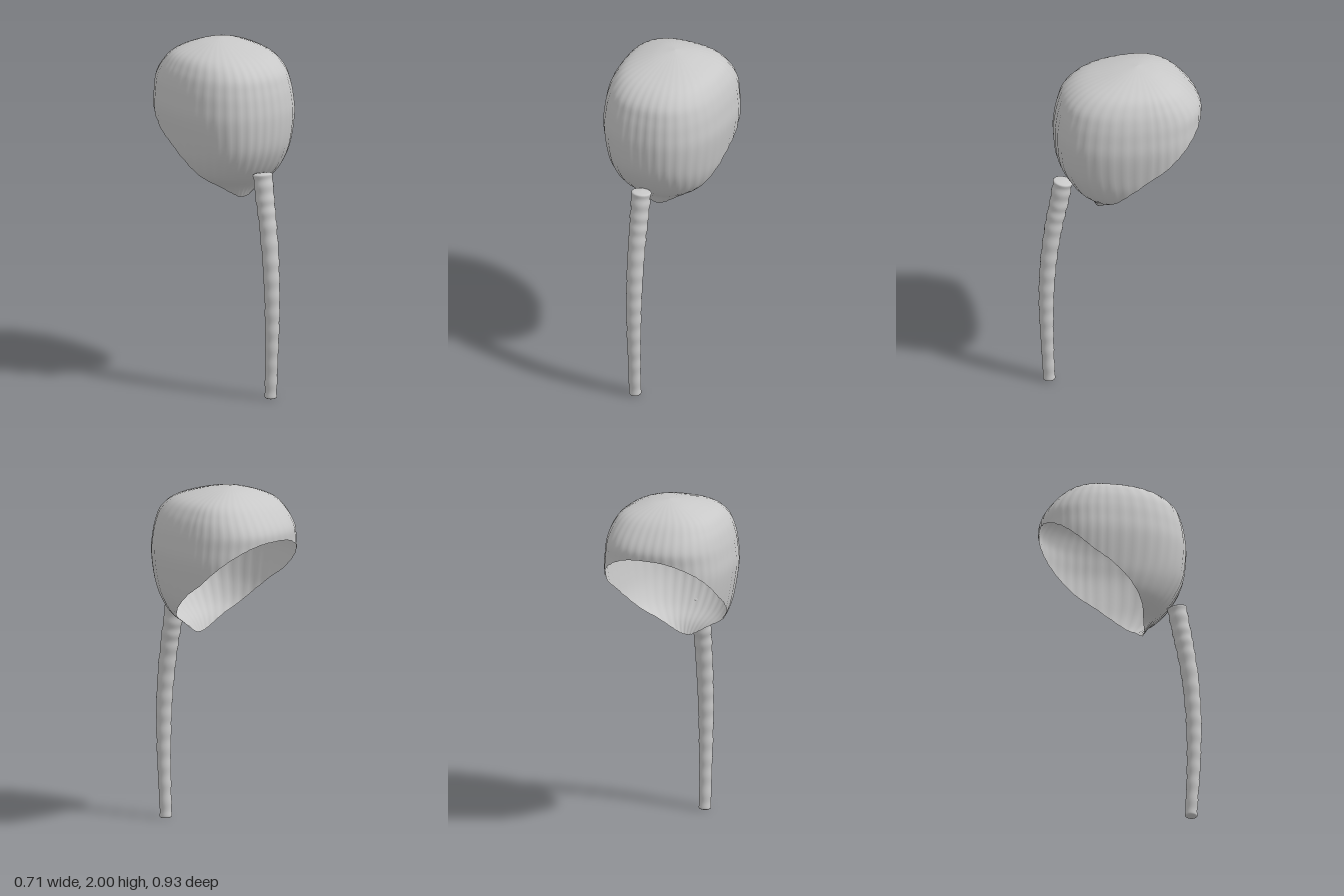
import * as THREE from 'three';

// Interpolates rows of numbers smoothly; t runs from 0 to 1 over the rows.
function sample(rows, t) {
  const s = Math.min(Math.max(t, 0), 1) * (rows.length - 1);
  const i = Math.min(Math.floor(s), rows.length - 2), f = s - i;
  const at = (k) => rows[Math.min(Math.max(k, 0), rows.length - 1)];
  return rows[0].map((_, c) => {
    const [a, b, d, e] = [at(i - 1)[c], at(i)[c], at(i + 1)[c], at(i + 2)[c]];
    return b + 0.5 * f * (d - a + f * (2 * a - 5 * b + 4 * d - e + f * (3 * (b - d) + e - a)));
  });
}

// Skins rings of points running downward, closed around.
function loft(rows, cols, point) {
  const pos = [], index = [];
  for (let i = 0; i <= rows; i++)
    for (let j = 0; j < cols; j++) pos.push(...point(i / rows, (j / cols) * Math.PI * 2));
  for (let i = 0; i < rows; i++)
    for (let j = 0; j < cols; j++) {
      const k = (j + 1) % cols;
      const a = i * cols + j, b = a + cols, c = (i + 1) * cols + k, d = i * cols + k;
      index.push(a, b, d, b, c, d);
    }
  const geo = new THREE.BufferGeometry();
  geo.setAttribute('position', new THREE.Float32BufferAttribute(pos, 3));
  geo.setIndex(index);
  geo.computeVertexNormals();
  return geo;
}

// Shell sections: height, half width, reach to front, reach to back
const SHELL = [
  [2.0, 0, 0, 0], [1.98, 0.12, 0.14, 0.11], [1.93, 0.25, 0.32, 0.22], [1.86, 0.307, 0.417, 0.295],
  [1.78, 0.335, 0.45, 0.347], [1.7, 0.347, 0.467, 0.35], [1.6, 0.353, 0.475, 0.35],
  [1.45, 0.333, 0.46, 0.35], [1.345, 0.31, 0.417, 0.33], [1.255, 0.265, 0.354, 0.3],
  [1.185, 0.18, 0.28, 0.25], [1.117, 0.1, 0.237, 0.2],
];
// Rim line: depth, height
const RIM = [
  [-0.46, 1.73], [-0.4, 1.67], [-0.3, 1.575], [-0.2, 1.485], [-0.1, 1.42],
  [0, 1.335], [0.06, 1.27], [0.1, 1.215], [0.13, 1.117],
];
const AXIS_Z = -0.11;

function rimHeight(z) {
  if (z <= RIM[0][0]) return RIM[0][1];
  for (let i = 1; i < RIM.length; i++) {
    const [z0, y0] = RIM[i - 1], [z1, y1] = RIM[i];
    if (z <= z1) return y0 + ((y1 - y0) * (z - z0)) / (z1 - z0);
  }
  return RIM[RIM.length - 1][1];
}

function shellPoint(t, angle) {
  const [y, w, front, back] = sample(SHELL, t);
  const s = Math.sin(angle), c = Math.cos(angle), n = 2.45;
  const r = 1 / Math.pow(Math.abs(s) ** n + Math.abs(c) ** n, 1 / n);
  const pleat = 1 + 0.006 * Math.cos(angle * 40);
  return [s * r * w * pleat, y, AXIS_Z + c * r * (c > 0 ? front : back) * pleat];
}

// Where the shell meets the rim line at each angle
const ends = new Map();
function shellEnd(angle) {
  if (ends.has(angle)) return ends.get(angle);
  const above = (t) => {
    const p = shellPoint(t, angle);
    return p[1] > rimHeight(p[2]);
  };
  let hi = 0.05;
  while (hi < 1 && above(hi)) hi += 0.01;
  hi = Math.min(hi, 1);
  let lo = hi - 0.01;
  for (let k = 0; k < 14; k++) {
    const mid = (lo + hi) / 2;
    if (above(mid)) lo = mid; else hi = mid;
  }
  ends.set(angle, hi);
  return hi;
}

// Stalk spine: height, depth, radius
const SPINE = [
  [1.29, 0.322, 0.055], [1.15, 0.347, 0.053], [1.0, 0.376, 0.05], [0.8, 0.403, 0.047],
  [0.6, 0.416, 0.044], [0.4, 0.417, 0.04], [0.2, 0.41, 0.036], [0.015, 0.401, 0.034],
];

function stalkPoint(u, angle) {
  // The first and last rings close the ends with a rounded edge.
  const t = Math.min(Math.max((u - 0.03) / 0.94, 0), 1);
  const [y, z, r] = sample(SPINE, t);
  const a = sample(SPINE, t - 0.01), b = sample(SPINE, t + 0.01);
  const dir = new THREE.Vector2(b[0] - a[0], b[1] - a[1]).normalize();
  const cap = Math.max(0.03 - u, u - 0.97, 0) / 0.03;
  const radius = r * (1 + 0.04 * Math.cos(t * 14 * Math.PI * 2)) * Math.sqrt(Math.max(0, 1 - cap ** 3));
  const push = 0.014 * cap * (u < 0.5 ? -1 : 1);
  const x = Math.sin(angle) * radius, side = Math.cos(angle) * radius;
  return [x, y + dir.x * push + dir.y * side, z + dir.y * push - dir.x * side * -1 * 1].map(
    (v, i) => (i === 1 ? y + dir.x * push + dir.y * side : i === 2 ? z + dir.y * push - dir.x * side : v));
}

export function createModel() {
  const grey = new THREE.MeshStandardMaterial({ color: 0xc8c8c8, side: THREE.DoubleSide });
  grey.name = 'pale grey';
  const model = new THREE.Group();

  // Open pleated hood
  const hood = new THREE.Mesh(
    loft(44, 160, (u, angle) => shellPoint(u * shellEnd(angle), angle)), grey);
  hood.name = 'hood';

  // Curved, gently ringed stalk
  const stalk = new THREE.Mesh(loft(132, 24, stalkPoint), grey);
  stalk.name = 'stalk';

  model.add(hood, stalk);
  return model;
}
